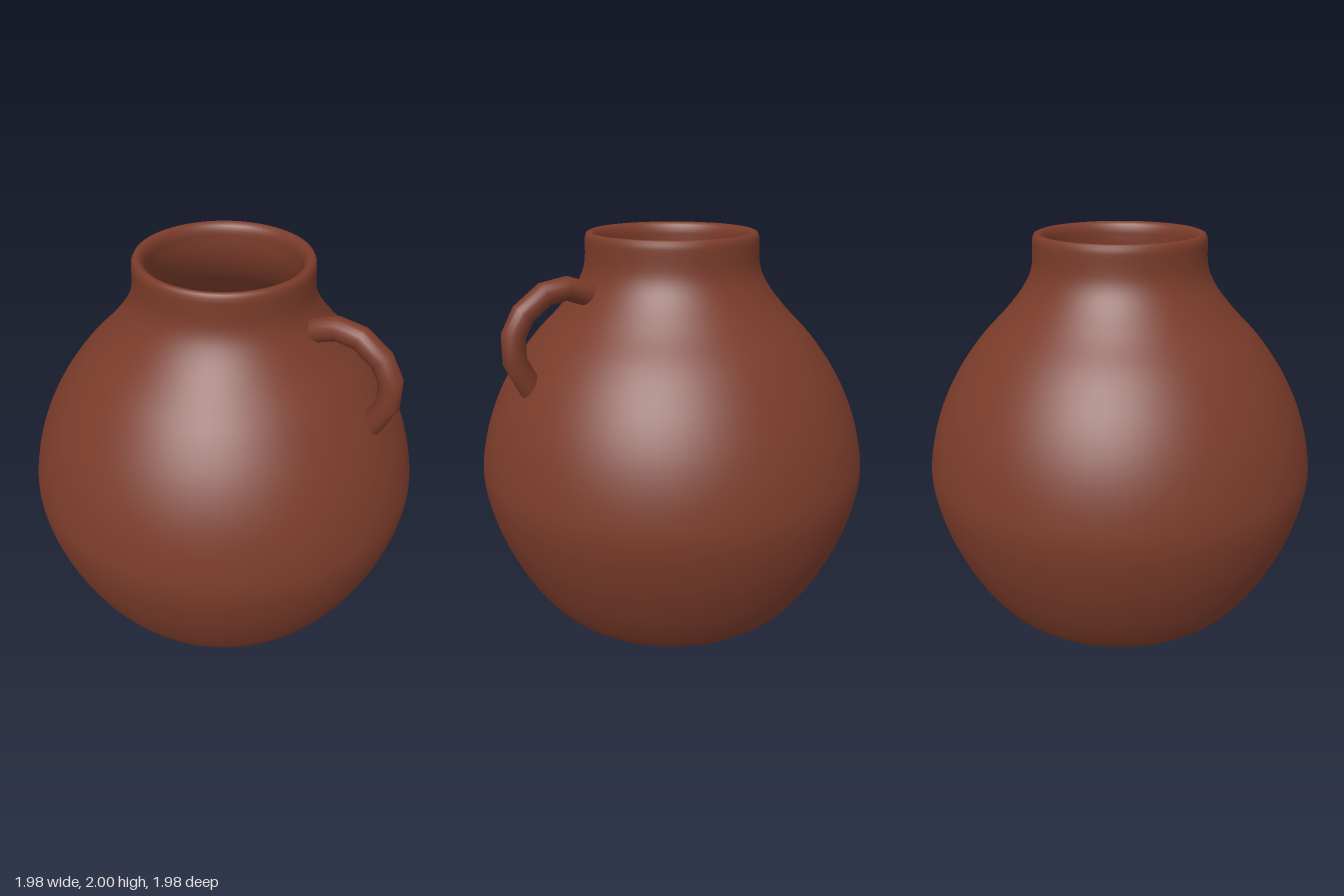
import * as THREE from 'three';

const clay = new THREE.MeshStandardMaterial({ color: 0x7a3b2a, roughness: 0.9 });

// Smooth 2D curve through [radius, height] pairs
function smooth(pairs, count) {
  const curve = new THREE.SplineCurve(pairs.map(([r, y]) => new THREE.Vector2(r, y)));
  return curve.getPoints(count).map(p => new THREE.Vector2(Math.max(p.x, 0), Math.max(p.y, 0)));
}

// Hollow pot: outer wall up to the neck, rounded rim, inner wall back down
function makePot() {
  const outer = smooth([
    [0.42, 0], [0.51, 0.01], [0.6, 0.035], [0.68, 0.085], [0.755, 0.17], [0.85, 0.33],
    [0.94, 0.55], [0.987, 0.77], [0.973, 0.94], [0.917, 1.13], [0.827, 1.31],
    [0.705, 1.48], [0.572, 1.62], [0.477, 1.74], [0.432, 1.84], [0.424, 1.96],
  ], 75);
  const rim = [[0.422, 1.98], [0.414, 1.995], [0.402, 2], [0.388, 1.997], [0.373, 1.985]]
    .map(([r, y]) => new THREE.Vector2(r, y));
  const inner = smooth([
    [0.364, 1.96], [0.368, 1.84], [0.42, 1.71], [0.525, 1.58], [0.66, 1.43], [0.775, 1.27],
    [0.86, 1.1], [0.912, 0.92], [0.924, 0.77], [0.88, 0.56], [0.79, 0.35],
    [0.7, 0.21], [0.6, 0.11], [0.48, 0.07], [0.4, 0.06],
  ], 60);
  const profile = [new THREE.Vector2(0, 0), ...outer, ...rim, ...inner, new THREE.Vector2(0, 0.06)];
  const pot = new THREE.Mesh(new THREE.LatheGeometry(profile, 96), clay);
  pot.name = 'pot';
  return pot;
}

// Faceted loop handle, both ends sunk into the wall
function makeHandle() {
  const points = [
    [0.445, 1.72], [0.483, 1.742], [0.583, 1.778], [0.694, 1.762], [0.803, 1.685],
    [0.856, 1.593], [0.858, 1.476], [0.8, 1.357], [0.775, 1.31],
  ].map(([x, y]) => new THREE.Vector3(x, y, -0.007));
  const curve = new THREE.CatmullRomCurve3(points);
  curve.getUtoTmapping = u => u; // rings fall exactly on the points
  const handle = new THREE.Mesh(new THREE.TubeGeometry(curve, points.length - 1, 0.056, 20), clay);
  handle.name = 'handle';
  return handle;
}

export function createModel() {
  const model = new THREE.Group();
  model.name = 'clayPot';
  model.add(makePot(), makeHandle());
  return model;
}
